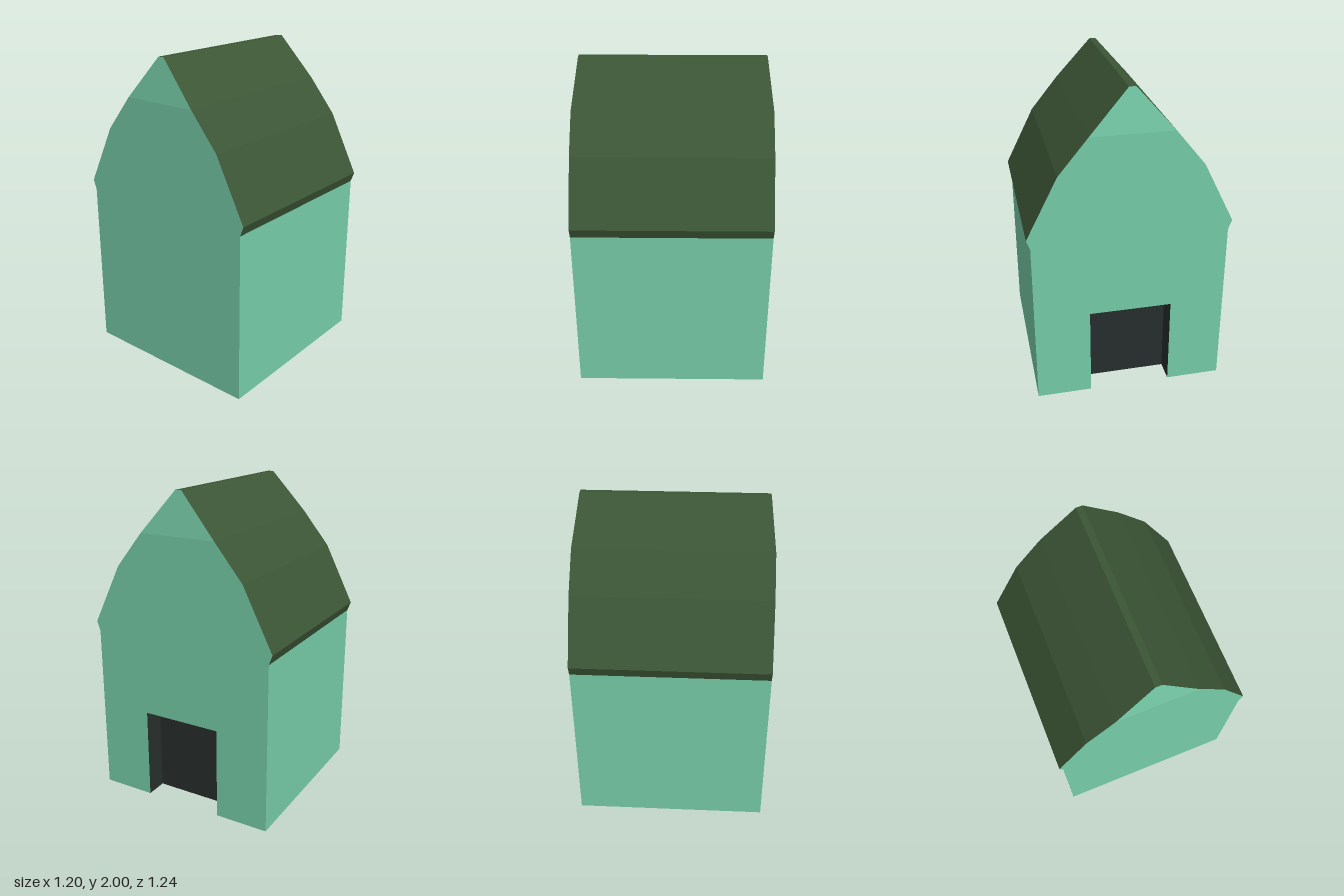
import * as THREE from 'three';

const HALF = 0.6, RIDGE_HALF = 0.57, CREASE_Y = 1.74, RIDGE_Y = 2;
const DOOR_HALF = 0.257, DOOR_TOP = 0.585, DOOR_BACK = 0.46;

// Half of the house cross-section as [z, y], from the ground up to the ridge
const halfProfile = [[0.6, 0], [0.6, 1.08], [0.622, 1.14], [0.43, 1.52], [0.25, CREASE_Y], [0.02, RIDGE_Y]];
const mirrored = (points) => [...points, ...points.map(([z, y]) => [-z, y]).reverse()];

const material = (color) => new THREE.MeshStandardMaterial({ color, flatShading: true });

// Flat quads along a [z, y] path, spanning from x0(y) to x1(y)
function strip(path, x0, x1) {
  const v = [];
  for (let i = 0; i < path.length - 1; i++) {
    const [[za, ya], [zb, yb]] = [path[i], path[i + 1]];
    const a = [x0(ya), ya, za], b = [x1(ya), ya, za], c = [x1(yb), yb, zb], d = [x0(yb), yb, zb];
    v.push(...a, ...b, ...c, ...a, ...c, ...d);
  }
  const geometry = new THREE.BufferGeometry();
  geometry.setAttribute('position', new THREE.Float32BufferAttribute(v, 3));
  geometry.computeVertexNormals();
  return geometry;
}

const flat = (points) => new THREE.ShapeGeometry(new THREE.Shape(points.map(([x, y]) => new THREE.Vector2(x, y))));

export function createModel() {
  const house = new THREE.Group();
  house.name = 'house';
  const wallMat = material(0x76cca8), roofMat = material(0x3c5636), doorMat = material(0x262e2c);
  const add = (name, geometry, mat) => {
    const mesh = new THREE.Mesh(geometry, mat);
    mesh.name = name;
    house.add(mesh);
  };

  // The ridge is slightly shorter than the house
  const halfWidth = (y) => (y > CREASE_Y ? RIDGE_HALF : HALF);
  const left = (y) => halfWidth(y), right = (y) => -halfWidth(y);

  // Long walls and the curved roof with its folded eaves
  add('frontWall', strip(halfProfile.slice(0, 2), right, left), wallMat);
  add('backWall', strip(mirrored(halfProfile.slice(0, 2)).slice(2), right, left), wallMat);
  add('roof', strip(mirrored(halfProfile.slice(1)), right, left), roofMat);

  // Gable walls, with the doorway cut into the +x one
  const doorPath = mirrored([[DOOR_HALF, 0], [DOOR_HALF, DOOR_TOP]]).reverse();
  const lower = mirrored(halfProfile.slice(0, 5));
  for (const side of [1, -1]) {
    const name = side > 0 ? 'doorGable' : 'plainGable';
    const outline = side > 0 ? [...lower, ...doorPath] : lower;
    add(name, flat(outline).rotateY(side * Math.PI / 2).translate(side * HALF, 0, 0), wallMat);

    // Gable tip leaning in towards the ridge
    const tip = flat(mirrored(halfProfile.slice(4))).rotateY(side * Math.PI / 2);
    const p = tip.attributes.position;
    for (let i = 0; i < p.count; i++) p.setX(i, side * (p.getY(i) > 1.9 ? RIDGE_HALF : HALF));
    tip.computeVertexNormals();
    add(name + 'Tip', tip, wallMat);
  }

  // Recessed doorway: jambs, lintel and back panel
  add('doorFrame', strip([...doorPath], () => DOOR_BACK, () => HALF), doorMat);
  add('door', new THREE.PlaneGeometry(2 * DOOR_HALF, DOOR_TOP)
    .rotateY(Math.PI / 2).translate(DOOR_BACK, DOOR_TOP / 2, 0), doorMat);

  // Underside, notched at the doorway
  add('floor', flat([
    [-HALF, -HALF], [HALF, -HALF], [HALF, -DOOR_HALF], [DOOR_BACK, -DOOR_HALF],
    [DOOR_BACK, DOOR_HALF], [HALF, DOOR_HALF], [HALF, HALF], [-HALF, HALF],
  ]).rotateX(Math.PI / 2), wallMat);

  return house;
}
